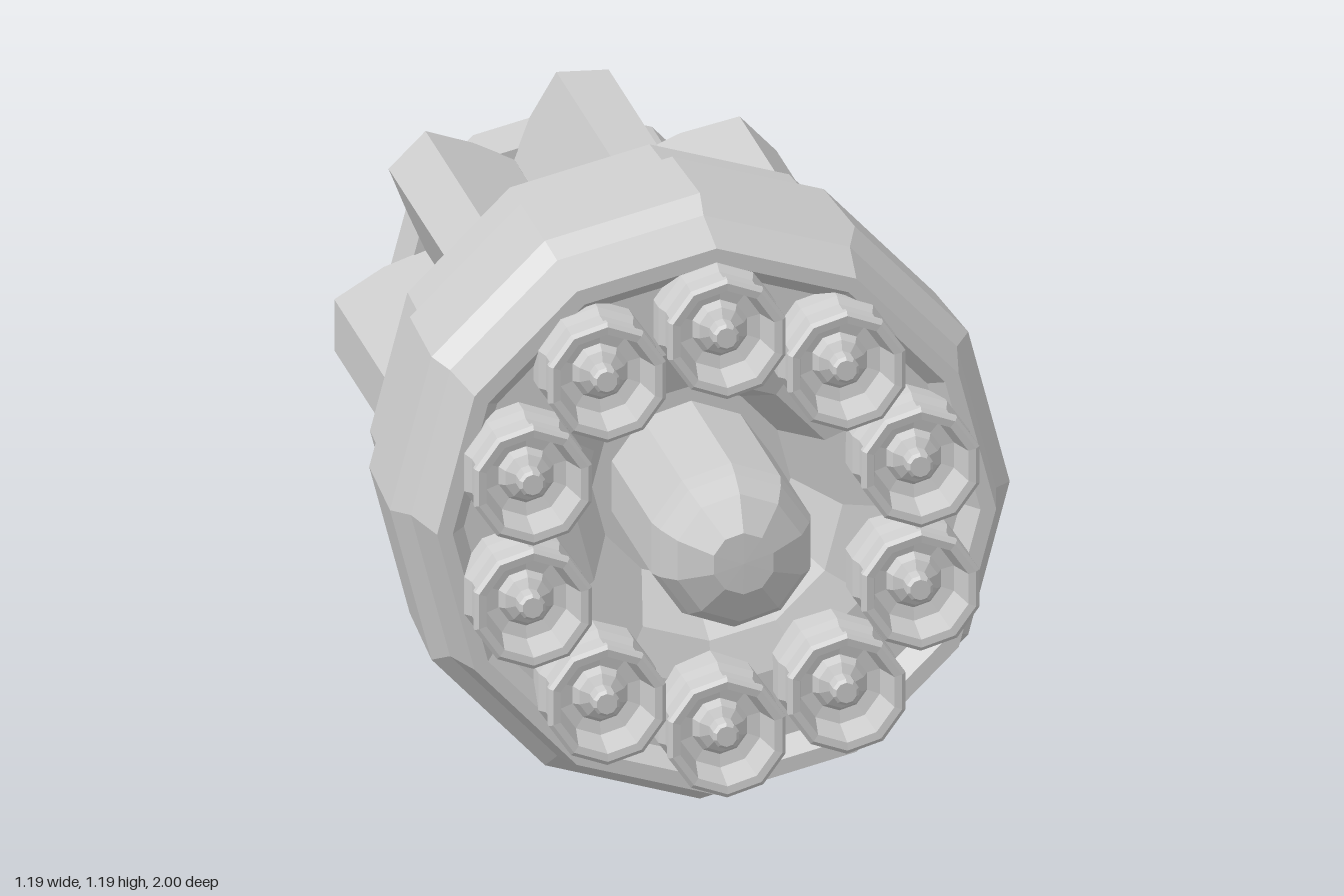
import * as THREE from 'three';
import { ConvexGeometry } from 'three/addons/geometries/ConvexGeometry.js';

const grey = new THREE.MeshStandardMaterial({ color: 0xcccccc, flatShading: true });
const green = new THREE.MeshStandardMaterial({ color: 0x0a990a });

// Faceted solid of revolution around z, from [radius, z] pairs running back to front
function turned(name, profile, sides) {
  const geometry = new THREE.LatheGeometry(profile.map(([r, z]) => new THREE.Vector2(r, z)), sides);
  geometry.rotateX(Math.PI / 2);
  const mesh = new THREE.Mesh(geometry, grey);
  mesh.name = name;
  return mesh;
}

// Tapered rib pointing up +y, its rear end chamfered
function ribGeometry() {
  const points = [];
  const section = (z, halfWidth, top) => {
    points.push(new THREE.Vector3(0, 0.1, z));
    for (const s of [-1, 1]) {
      points.push(new THREE.Vector3(s * 0.12, 0.29, z), new THREE.Vector3(s * halfWidth, top, z));
    }
  };
  section(-0.09, 0.05, 0.475);
  section(-0.78, 0.05, 0.475);
  section(-0.845, 0.09, 0.37);
  return new ConvexGeometry(points);
}

export function createModel() {
  const model = new THREE.Group();
  model.name = 'clusterNozzle';
  const unit = new THREE.Group();
  unit.name = 'assembly';
  unit.position.y = 0.595;
  model.add(unit);

  // Rear plug, core, barrel and recessed front face
  unit.add(turned('body', [
    [0, -1], [0.342, -1], [0.342, -0.84], [0.29, -0.84], [0.29, -0.28],
    [0.535, -0.04], [0.545, 0.16], [0.58, 0.21], [0.593, 0.515], [0.56, 0.555], [0.535, 0.7],
    [0.505, 0.7], [0.475, 0.65], [0.34, 0.65], [0.255, 0.62], [0.19, 0.42], [0, 0.42],
  ], 12));

  // Domed central rod
  unit.add(turned('centreRod', [
    [0.16, 0.4], [0.16, 0.86], [0.15, 0.9], [0.125, 0.955], [0.06, 0.998], [0, 1],
  ], 10));

  // Ring of ribs around the core
  const ribs = new THREE.Group();
  ribs.name = 'ribs';
  const rib = ribGeometry();
  for (let i = 0; i < 8; i++) {
    const mesh = new THREE.Mesh(rib, grey);
    mesh.name = 'rib';
    mesh.rotation.z = i * Math.PI / 4;
    ribs.add(mesh);
  }
  unit.add(ribs);

  // Ring of hollow jets, each with a stepped pin inside
  const jets = new THREE.Group();
  jets.name = 'jets';
  const jet = turned('jet', [
    [0.118, 0.62], [0.118, 0.705], [0.108, 0.73], [0.108, 0.785], [0.118, 0.8], [0.118, 0.815],
    [0.11, 0.822], [0.095, 0.82], [0.08, 0.74], [0.055, 0.735], [0.045, 0.755],
    [0.026, 0.765], [0.026, 0.805], [0.02, 0.812], [0, 0.812],
  ], 10);
  for (let i = 0; i < 10; i++) {
    const a = i * Math.PI / 5;
    const copy = jet.clone();
    copy.position.set(-0.39 * Math.sin(a), 0.39 * Math.cos(a), 0);
    copy.rotation.z = a;
    jets.add(copy);
  }
  unit.add(jets);

  // Coloured panel on the rear cap
  const panel = new THREE.Mesh(new THREE.PlaneGeometry(0.2, 0.35), green);
  panel.name = 'rearPanel';
  panel.rotation.y = Math.PI;
  panel.position.z = -1.002;
  unit.add(panel);

  return model;
}
